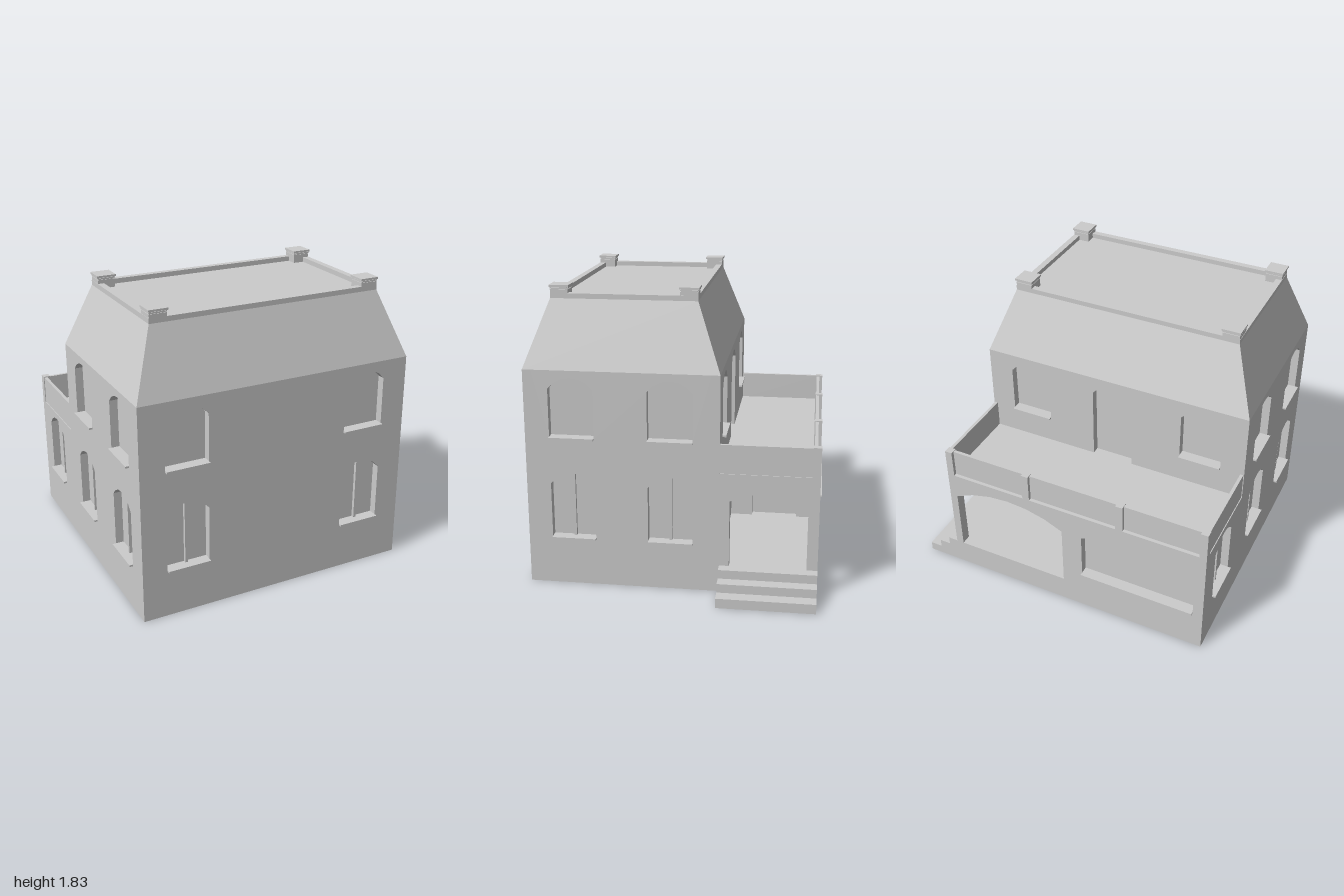
import * as THREE from 'three';

const stone = new THREE.MeshStandardMaterial({ color: 0xcccccc });
stone.name = 'pale grey';

const T = 0.05; // wall thickness, also the depth of window recesses

function add(parent, name, geometry) {
  const mesh = new THREE.Mesh(geometry, stone);
  mesh.name = name;
  parent.add(mesh);
  return mesh;
}

// Box given by its extents on each axis
function box(parent, name, x0, x1, y0, y1, z0, z1) {
  const mesh = add(parent, name, new THREE.BoxGeometry(x1 - x0, y1 - y0, z1 - z0));
  mesh.position.set((x0 + x1) / 2, (y0 + y1) / 2, (z0 + z1) / 2);
  return mesh;
}

// Opening with straight jambs and a segmental arch on top
function archPath(o) {
  const half = o.w / 2, rise = o.peak - o.spring;
  const path = new THREE.Path();
  path.moveTo(o.u - half, o.y);
  path.lineTo(o.u + half, o.y);
  path.lineTo(o.u + half, o.spring);
  if (rise > 0) {
    const r = (half * half + rise * rise) / (2 * rise);
    const a = Math.asin(half / r);
    for (let i = 1; i < 6; i++) {
      const t = a - (2 * a * i) / 6;
      path.lineTo(o.u + r * Math.sin(t), o.peak - r + r * Math.cos(t));
    }
  }
  path.lineTo(o.u - half, o.spring);
  path.closePath();
  return path;
}

// Wall slab facing the direction given by angle, with openings, sills and mullions
function wall(parent, name, angle, offset, u0, u1, height, openings) {
  const g = new THREE.Group();
  g.name = name;
  g.rotation.y = angle;
  g.position.set(Math.sin(angle) * offset, 0, Math.cos(angle) * offset);
  const shape = new THREE.Shape([
    new THREE.Vector2(u0, 0), new THREE.Vector2(u1, 0),
    new THREE.Vector2(u1, height), new THREE.Vector2(u0, height),
  ]);
  openings.forEach((o) => shape.holes.push(archPath(o)));
  const slab = new THREE.ExtrudeGeometry(shape, { depth: T, bevelEnabled: false });
  add(g, name + 'Slab', slab.translate(0, 0, -T));
  openings.forEach((o) => {
    if (o.sill) box(g, 'windowSill', o.u - o.w / 2, o.u + o.w / 2, o.y - 0.005, o.y + 0.006, -T, 0.022);
    if (o.mullion) box(g, 'mullion', o.u - 0.008, o.u + 0.008, o.y, o.peak - 0.002, -T, -T + 0.02);
  });
  parent.add(g);
  return g;
}

const lower = (u) => ({ u, w: 0.27, y: 0.3, spring: 0.647, peak: 0.718, sill: true, mullion: true });
const upper = (u) => ({ u, w: 0.27, y: 0.937, spring: 1.237, peak: 1.307, sill: true });

export function createModel() {
  const model = new THREE.Group();
  model.name = 'house';
  const BACK = Math.PI, LEFT = Math.PI / 2, RIGHT = -Math.PI / 2;
  const deck = 0.757;

  // Main block: a core behind four pierced walls
  const main = new THREE.Group();
  main.name = 'mainBlock';
  model.add(main);
  box(main, 'mainCore', -0.93, 0.73, 0, 1.35, -0.24, 0.83);
  wall(main, 'frontWall', 0, 0.88, -0.98, 0.78, 1.35,
    [-0.69, 0.485].flatMap((x) => [lower(x), upper(x)]));
  wall(main, 'leftWall', LEFT, 0.78, -0.83, 0.24, 1.35,
    [-0.597, -0.006].flatMap((u) => [lower(u), upper(u)]));
  wall(main, 'rightWall', RIGHT, 0.98, -0.24, 0.83, 1.35,
    [0.597, 0.006].flatMap((u) => [lower(u), upper(u)]));
  wall(main, 'backWall', BACK, 0.29, -0.78, 0.98, 1.35, [
    upper(-0.485), upper(0.69), lower(-0.485),
    { u: 0.095, w: 0.27, y: deck, spring: 1.237, peak: 1.307 },
  ]);

  // Sloping roof: a box drawn in at the top
  const roof = new THREE.Group();
  roof.name = 'roof';
  model.add(roof);
  const slope = new THREE.BoxGeometry(1.76, 0.4, 1.17);
  const p = slope.attributes.position;
  for (let i = 0; i < p.count; i++) {
    if (p.getY(i) > 0) p.setXYZ(i, Math.sign(p.getX(i)) * 0.735, 0.2, Math.sign(p.getZ(i)) * 0.438);
  }
  slope.computeVertexNormals();
  add(roof, 'roofSlopes', slope).position.set(-0.1, 1.55, 0.295);

  // Roof parapet and capped corner posts
  for (const s of [-1, 1]) {
    const z = 0.295 + s * 0.418, x = -0.1 + s * 0.715;
    box(roof, 'roofParapet', -0.835, 0.635, 1.74, 1.78, z - 0.02, z + 0.02);
    box(roof, 'roofParapet', x - 0.02, x + 0.02, 1.74, 1.78, -0.143, 0.733);
    for (const t of [-1, 1]) {
      const cx = -0.1 + s * 0.68, cz = 0.295 + t * 0.385;
      const block = (name, h, y0, y1) => box(roof, name, cx - h, cx + h, y0, y1, cz - h, cz + h);
      block('roofPost', 0.053, 1.74, 1.802);
      block('roofPostNeck', 0.048, 1.802, 1.816);
      block('roofPostCollar', 0.054, 1.806, 1.813);
      block('roofPostCap', 0.059, 1.816, 1.828);
    }
  }

  // Rear wing: closed room on one end, open porch on the other
  const wing = new THREE.Group();
  wing.name = 'rearWing';
  model.add(wing);
  box(wing, 'roomCore', -0.93, -0.1, 0, 0.72, -0.83, -0.29);
  box(wing, 'porchFloor', -0.06, 0.73, 0, 0.17, -0.83, -0.29);
  box(wing, 'terraceDeck', -0.93, 0.73, 0.715, deck, -0.83, -0.29);
  wall(wing, 'wingBackWall', BACK, 0.88, -0.78, 0.98, deck, [
    { u: 0.54, w: 0.75, y: 0.28, spring: 0.585, peak: 0.675, sill: true },
    { u: -0.35, w: 0.76, y: 0.17, spring: 0.585, peak: 0.685 },
  ]);
  wall(wing, 'wingRightWall', RIGHT, 0.98, -0.83, -0.29, deck, [lower(-0.59)]);
  wall(wing, 'porchArch', LEFT, 0.78, 0.29, 0.83, deck,
    [{ u: 0.582, w: 0.465, y: 0.17, spring: 0.585, peak: 0.655 }]);
  wall(wing, 'porchDoorWall', LEFT, -0.05, 0.29, 0.83, 0.72,
    [{ u: 0.582, w: 0.3, y: 0.17, spring: 0.655, peak: 0.655 }]);
  add(wing, 'doorKnob', new THREE.SphereGeometry(0.009, 12, 8)).position.set(-0.092, 0.41, -0.69);

  // Terrace railing: thin panels between posts
  const railing = new THREE.Group();
  railing.name = 'terraceRailing';
  model.add(railing);
  box(railing, 'backPanel', -0.96, 0.76, deck - 0.01, 0.935, -0.858, -0.838);
  box(railing, 'rightPanel', -0.975, -0.955, deck - 0.01, 0.935, -0.85, -0.29);
  box(railing, 'leftPanel', 0.755, 0.775, deck - 0.01, 0.935, -0.85, -0.29);
  for (const x of [-0.98, -0.444, 0.19, 0.733]) {
    box(railing, 'railingPost', x, x + 0.047, deck - 0.01, 0.94, -0.88, -0.833);
  }

  // Entrance steps
  [[0.845, 0.17], [0.92, 0.115], [1.0, 0.06]].forEach(([x, h], i, all) => {
    box(model, 'step', i ? all[i - 1][0] : 0.78, x, 0, h, -0.88, -0.29);
  });

  return model;
}
